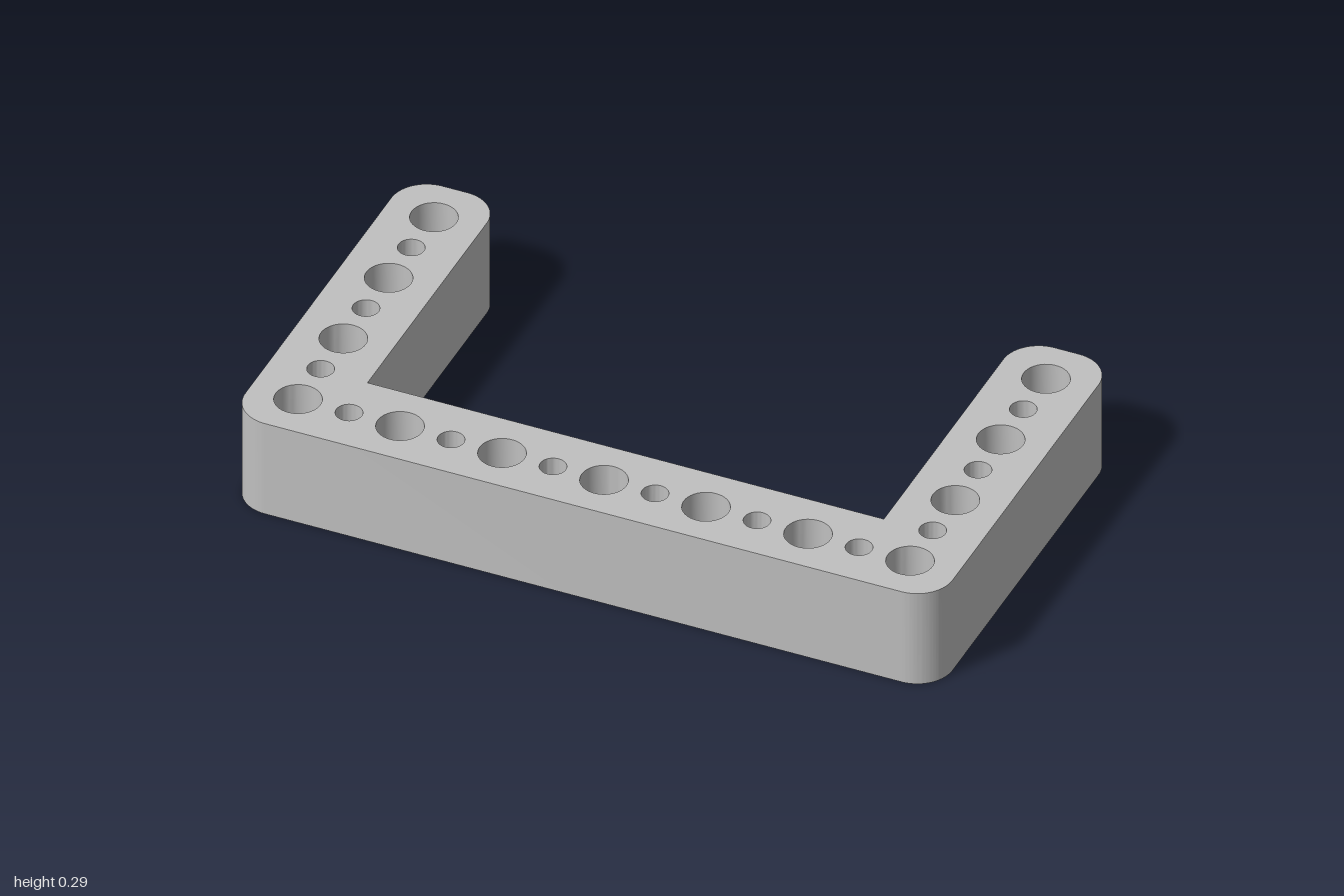
import * as THREE from 'three';
import { toCreasedNormals } from 'three/addons/utils/BufferGeometryUtils.js';

const HEIGHT = 0.29;
const PITCH = 0.1442; // spacing between neighbouring holes
const CORNER = 0.1;
const HALF_W = 1, HALF_D = 0.565, ARM = 0.27;

// Adds a rounded corner at (x, y), heading from direction a to direction b
function corner(shape, x, y, a, b) {
  shape.lineTo(x - a[0] * CORNER, y - a[1] * CORNER);
  shape.absarc(
    x + (b[0] - a[0]) * CORNER, y + (b[1] - a[1]) * CORNER, CORNER,
    Math.atan2(-b[1], -b[0]), Math.atan2(a[1], a[0]), false);
}

// U-shaped outline, drawn with the front edge at negative y
function outline() {
  const E = [1, 0], N = [0, 1], W = [-1, 0], S = [0, -1];
  const inX = HALF_W - ARM, inY = -HALF_D + ARM;
  const s = new THREE.Shape();
  s.moveTo(-HALF_W + CORNER, -HALF_D);
  corner(s, HALF_W, -HALF_D, E, N);
  corner(s, HALF_W, HALF_D, N, W);
  corner(s, inX, HALF_D, W, S);
  s.lineTo(inX, inY);
  s.lineTo(-inX, inY);
  corner(s, -inX, HALF_D, N, W);
  corner(s, -HALF_W, HALF_D, W, S);
  corner(s, -HALF_W, -HALF_D, S, E);
  return s;
}

export function createModel() {
  const group = new THREE.Group();
  group.name = 'perforatedUFrame';
  const grey = new THREE.MeshStandardMaterial({ color: 0xc0c0c0 });
  grey.name = 'lightGrey';

  const shape = outline();
  // Through holes alternate between large and small
  const hole = (x, y, i) => {
    const p = new THREE.Path();
    p.absarc(x, y, i % 2 === 0 ? 0.063 : 0.036, 0, Math.PI * 2, true);
    shape.holes.push(p);
  };
  // Front bar, including both corner holes
  for (let i = -6; i <= 6; i++) hole(i * PITCH, -3 * PITCH, i);
  // Side arms
  for (const side of [-1, 1])
    for (let i = 1; i <= 6; i++) hole(side * 6 * PITCH, (i - 3) * PITCH, i);

  const geometry = new THREE.ExtrudeGeometry(shape, {
    depth: HEIGHT, bevelEnabled: false, curveSegments: 20,
  });
  geometry.rotateX(-Math.PI / 2);
  const frame = new THREE.Mesh(toCreasedNormals(geometry, 0.6), grey);
  frame.name = 'frame';
  group.add(frame);
  return group;
}
